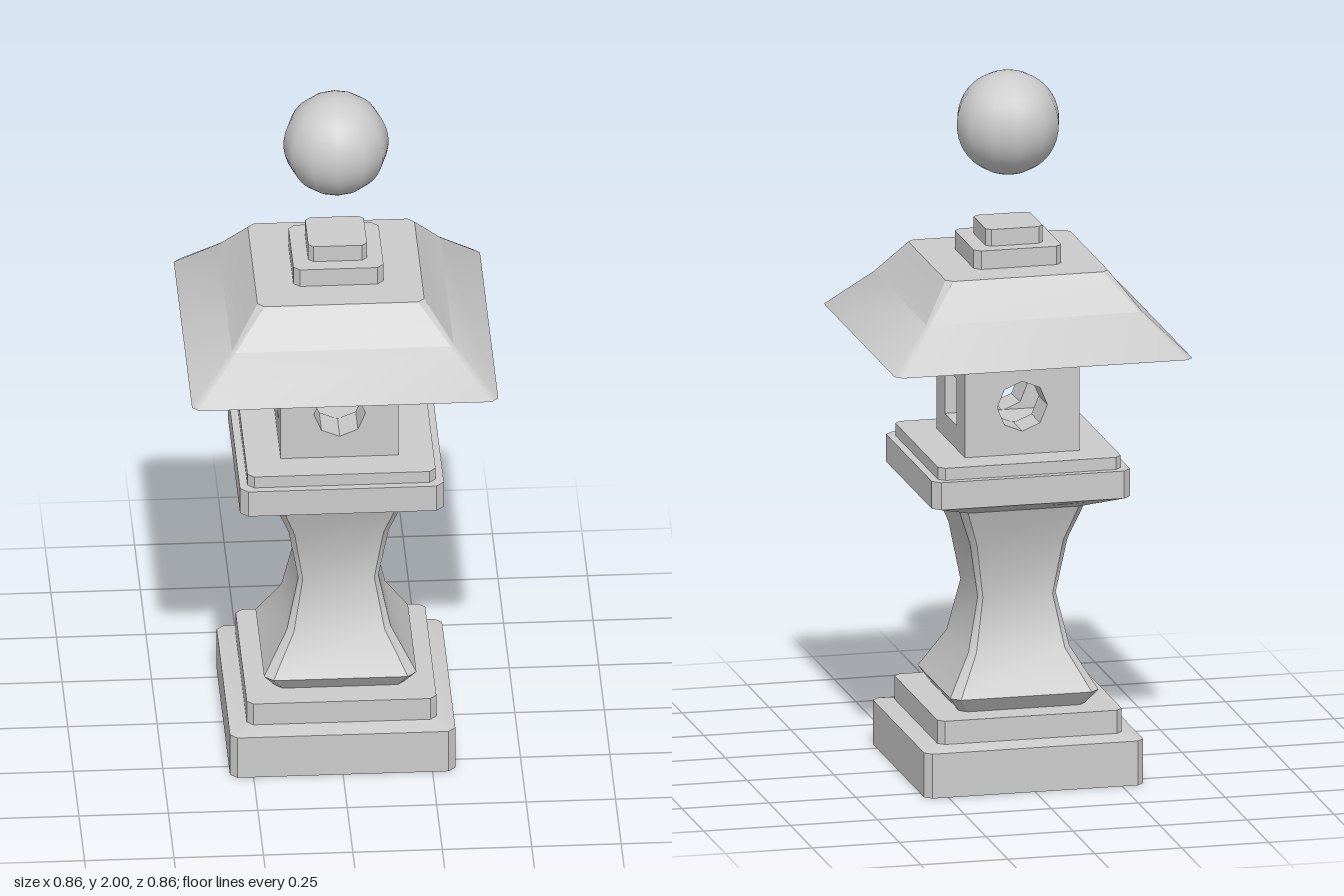
import * as THREE from 'three';
import { toCreasedNormals } from 'three/addons/utils/BufferGeometryUtils.js';

const stone = new THREE.MeshStandardMaterial({ color: 0xcccccc });

// Square with clipped corners, counter-clockwise seen from below.
function ring(half, y, cut) {
  const a = half, b = half - cut;
  return [[a, b], [a, -b], [b, -a], [-b, -a], [-a, -b], [-a, b], [-b, a], [b, a]]
    .map(([x, z]) => [x, y, z]);
}

// Solid lofted through clipped squares; profile rows are [half width, y, corner cut], bottom to top.
function loft(name, profile) {
  const rings = profile.map(([h, y, c]) => ring(h, y, c));
  const pos = [];
  const tri = (a, b, c) => pos.push(...a, ...b, ...c);
  for (let i = 0; i < rings.length - 1; i++) {
    const lo = rings[i], hi = rings[i + 1];
    for (let j = 0; j < 8; j++) {
      const k = (j + 1) % 8;
      tri(lo[j], lo[k], hi[k]);
      tri(lo[j], hi[k], hi[j]);
    }
  }
  const bottom = rings[0], top = rings[rings.length - 1];
  for (let j = 1; j < 7; j++) {
    tri(top[0], top[j], top[j + 1]);
    tri(bottom[0], bottom[j + 1], bottom[j]);
  }
  const geo = new THREE.BufferGeometry();
  geo.setAttribute('position', new THREE.Float32BufferAttribute(pos, 3));
  const mesh = new THREE.Mesh(toCreasedNormals(geo, 0.6), stone);
  mesh.name = name;
  return mesh;
}

// Lamp chamber: round opening front to back, square opening side to side.
function lampChamber() {
  const group = new THREE.Group();
  group.name = 'lampChamber';
  const half = 0.165, y0 = 0.937, y1 = 1.212, gap = 0.066, floor = 1.005, ceiling = 1.14;

  const wall = new THREE.Shape([
    [-half, y0], [half, y0], [half, y1], [-half, y1],
  ].map(([x, y]) => new THREE.Vector2(x, y)));
  const hole = [];
  for (let i = 0; i < 8; i++) {
    const t = -i * Math.PI / 4;
    hole.push(new THREE.Vector2(0.072 * Math.cos(t), 1.075 + 0.072 * Math.sin(t)));
  }
  wall.holes.push(new THREE.Path(hole));
  const wallGeo = new THREE.ExtrudeGeometry(wall, { depth: half - gap, bevelEnabled: false });
  for (const [name, z] of [['frontWall', gap], ['backWall', -half]]) {
    const mesh = new THREE.Mesh(wallGeo, stone);
    mesh.name = name;
    mesh.position.z = z;
    group.add(mesh);
  }

  for (const [name, lo, hi] of [['chamberFloor', y0, floor], ['chamberCeiling', ceiling, y1]]) {
    const mesh = new THREE.Mesh(new THREE.BoxGeometry(half * 2, hi - lo, gap * 2), stone);
    mesh.name = name;
    mesh.position.y = (lo + hi) / 2;
    group.add(mesh);
  }
  return group;
}

export function createModel() {
  const model = new THREE.Group();
  model.name = 'stoneLantern';

  model.add(
    // Stepped base
    loft('base', [
      [0.315, 0, 0.02], [0.315, 0.128, 0.02], [0.265, 0.14, 0.018], [0.265, 0.207, 0.018],
    ]),
    // Waisted column
    loft('column', [
      [0.18, 0.205, 0.02], [0.213, 0.25, 0.025], [0.145, 0.365, 0.018],
      [0.112, 0.515, 0.012], [0.14, 0.675, 0.016], [0.18, 0.782, 0.02],
    ]),
    // Platform under the lamp chamber
    loft('platform', [
      [0.18, 0.78, 0.02], [0.285, 0.823, 0.022], [0.285, 0.902, 0.022],
      [0.263, 0.902, 0.018], [0.263, 0.937, 0.018],
    ]),
    lampChamber(),
    // Overhanging roof
    loft('roof', [
      [0.165, 1.21, 0.005], [0.32, 1.243, 0.012], [0.428, 1.25, 0.02],
      [0.31, 1.365, 0.01], [0.233, 1.467, 0.018],
    ]),
    // Two-step cap
    loft('roofCap', [
      [0.126, 1.465, 0.018], [0.126, 1.52, 0.018], [0.082, 1.52, 0.014], [0.082, 1.568, 0.014],
    ]),
  );

  // Ball floating above the cap
  const ball = new THREE.Mesh(new THREE.SphereGeometry(0.147, 12, 24), stone);
  ball.name = 'finialBall';
  ball.position.y = 1.853;
  model.add(ball);

  return model;
}
